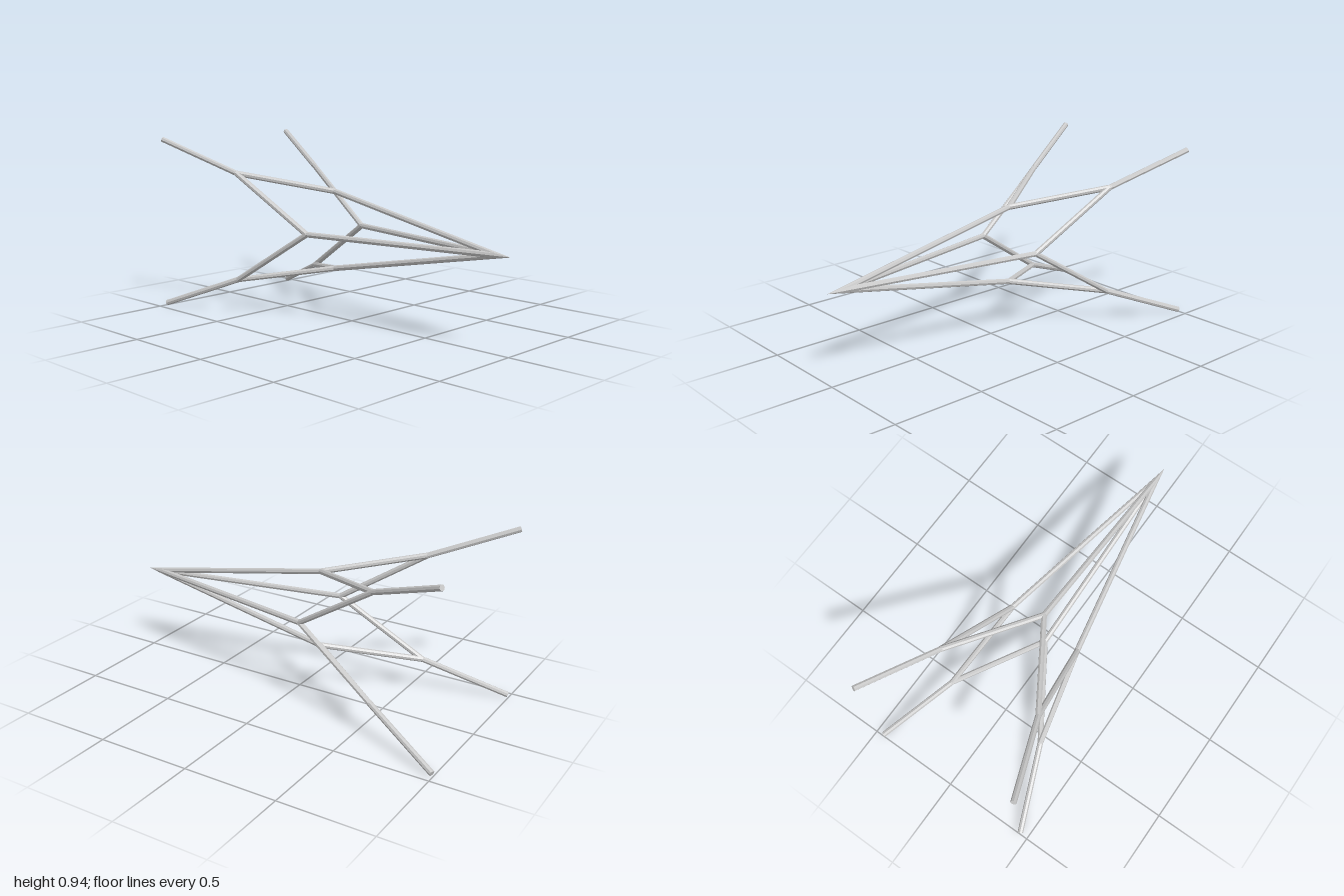
import * as THREE from 'three';

const RADIUS = 0.015;
const SIDES = 8;
const V = (x, y, z) => new THREE.Vector3(x, y, z);

// Straight bar from a to b; each end is cut by the plane whose normal the cut function
// gives for a rim point (square cut if none)
function barGeometry(a, b, cutA, cutB) {
  const dir = b.clone().sub(a).normalize();
  const mid = a.clone().add(b);
  const out = V(mid.x, mid.y, 0);
  out.addScaledVector(dir, -out.dot(dir)).normalize();
  const side = dir.clone().cross(out);
  const geo = new THREE.CylinderGeometry(RADIUS, RADIUS, 1, SIDES);
  const pos = geo.attributes.position;
  for (let i = 0; i < pos.count; i++) {
    const top = pos.getY(i) > 0;
    const cut = top ? cutB : cutA;
    const p = side.clone().multiplyScalar(pos.getX(i)).addScaledVector(out, pos.getZ(i));
    const normal = cut ? cut(p) : dir;
    p.addScaledVector(dir, -p.dot(normal) / dir.dot(normal)).add(top ? b : a);
    pos.setXYZ(i, p.x, p.y, p.z);
  }
  const flat = geo.toNonIndexed();
  flat.computeVertexNormals();
  return flat;
}

export function createModel() {
  const model = new THREE.Group();
  model.name = 'branchingFrame';
  const grey = new THREE.MeshStandardMaterial({ color: 0xc8c8c8 });
  grey.name = 'lightGrey';

  const addBar = (parent, name, ...args) => {
    const mesh = new THREE.Mesh(barGeometry(...args), grey);
    mesh.name = name;
    parent.add(mesh);
  };

  const tip = V(0, 0, 0.922);
  const node = V(0.205, 0, -0.125);
  const corner = V(0.288, 0.288, -0.575);
  const mirrorCorner = V(0.288, -0.288, -0.575);
  const end = V(0.455, 0.455, -0.993);

  // Cutting planes: four-way nose mitre, node mitre, corner mitres
  const noseCut = (p) => V(1, -Math.sign(p.y), 0);
  const nodeCut = () => V(0, 1, 0);
  const upperCut = () => V(1, -1, 0);
  const lowerCut = () => V(1, 1, 0);

  // One quarter of the frame, repeated around the long axis
  for (let i = 0; i < 4; i++) {
    const quarter = new THREE.Group();
    quarter.name = 'quarter' + (i + 1);
    // long strut, mitred into the pointed nose
    addBar(quarter, 'noseStrut', tip, node, noseCut, null);
    // fork of two braces, mitred together at the node and at the corners
    addBar(quarter, 'upperBrace', node, corner, nodeCut, upperCut);
    addBar(quarter, 'lowerBrace', node, mirrorCorner, nodeCut, lowerCut);
    // free leg running to the back
    addBar(quarter, 'rearLeg', corner, end, null, null);
    quarter.rotation.z = i * Math.PI / 2;
    quarter.position.y = 0.47;
    model.add(quarter);
  }
  return model;
}
